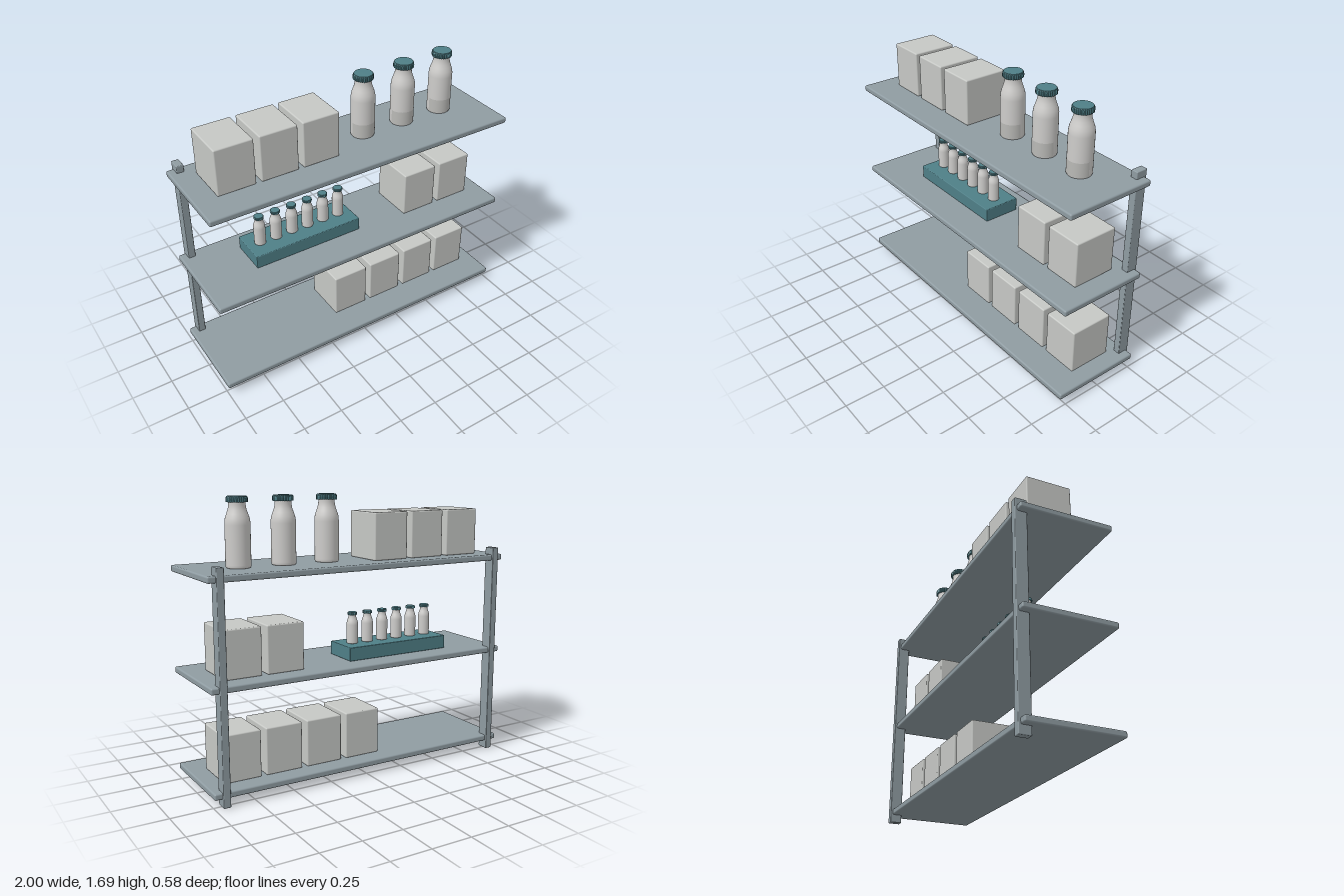
import * as THREE from 'three';
import { RoundedBoxGeometry } from 'three/addons/geometries/RoundedBoxGeometry.js';

const mat = (name, hex, extra = {}) => {
  const m = new THREE.MeshStandardMaterial({ color: hex, ...extra });
  m.name = name;
  return m;
};

export function createModel() {
  const root = new THREE.Group();
  root.name = 'stockedShelf';
  const metal = mat('greyMetal', 0x8f9ca2);
  const teal = mat('teal', 0x4f7f87);
  const card = mat('paleBox', 0xc6c8c5);
  const glass = mat('paleBottle', 0xcecdcb);
  const band = mat('greyBand', 0xb9b9b6, { side: THREE.DoubleSide });

  const Z = -0.028; // line on which the goods stand
  const add = (parent, name, geo, material, x, y, z) => {
    const mesh = new THREE.Mesh(geo, material);
    mesh.name = name;
    mesh.position.set(x, y, z);
    parent.add(mesh);
    return mesh;
  };

  // Rack: three boards on two rear posts
  const shelfTops = [0.089, 0.69, 1.292];
  const boardGeo = new RoundedBoxGeometry(2, 0.038, 0.567, 3, 0.01);
  shelfTops.forEach((y) => add(root, 'shelfBoard', boardGeo, metal, 0, y - 0.019, 0.0065));
  const postGeo = new RoundedBoxGeometry(0.044, 1.336, 0.074, 2, 0.005);
  [-0.936, 0.931].forEach((x) => add(root, 'post', postGeo, metal, x, 0.668, -0.253));

  // Storage boxes, by shelf
  const boxGeo = new RoundedBoxGeometry(0.233, 0.286, 0.281, 3, 0.008);
  const boxRows = [
    [-0.019, 0.248, 0.515, 0.781],
    [0.496, 0.763],
    [-0.751, -0.485, -0.22],
  ];
  boxRows.forEach((row, i) => row.forEach((x) =>
    add(root, 'storageBox', boxGeo, card, x, shelfTops[i] + 0.143, Z)));

  // Bottle body
  const V = (x, y) => new THREE.Vector2(x, y);
  const bodyGeo = new THREE.LatheGeometry([
    V(0, 0), V(0.064, 0), V(0.069, 0.002), V(0.072, 0.008), V(0.072, 0.02), V(0.072, 0.24),
    V(0.0715, 0.256), V(0.068, 0.277), V(0.06, 0.3), V(0.053, 0.32), V(0.049, 0.337),
    V(0.048, 0.352), V(0.048, 0.375),
  ], 32);

  // Crimped cap: every second column of the skirt is drawn inwards
  const RIBS = 56;
  const capLathe = new THREE.LatheGeometry([
    V(0, 0.364), V(0.061, 0.364), V(0.0615, 0.38), V(0.06, 0.39), V(0.055, 0.397), V(0, 0.398),
  ], RIBS);
  const p = capLathe.attributes.position;
  for (let i = 0; i < p.count; i++) {
    const column = Math.floor(i / 6), ring = i % 6;
    if (column % 2 && ring >= 1 && ring <= 3) {
      p.setX(i, p.getX(i) * 0.93);
      p.setZ(i, p.getZ(i) * 0.93);
    }
  }
  const capGeo = capLathe.toNonIndexed();
  capGeo.computeVertexNormals();

  // Thin band round the front half of the large bottles
  const bandGeo = new THREE.CylinderGeometry(0.0728, 0.0728, 0.085, 24, 1, true, -Math.PI / 2, Math.PI);

  const bottle = (name, x, y, scale) => {
    const g = new THREE.Group();
    g.name = name;
    add(g, 'bottleBody', bodyGeo, glass, 0, 0, 0);
    add(g, 'bottleCap', capGeo, teal, 0, 0, 0);
    g.position.set(x, y, Z);
    g.scale.setScalar(scale);
    root.add(g);
    return g;
  };

  // Large bottles on the top shelf
  [0.147, 0.431, 0.714].forEach((x) => {
    const g = bottle('largeBottle', x, shelfTops[2], 1);
    add(g, 'bottleBand', bandGeo, band, 0, 0.052, 0);
  });

  // Tray with a row of small bottles on the middle shelf
  const trayTop = 0.774;
  add(root, 'tray', new RoundedBoxGeometry(0.712, 0.084, 0.235, 2, 0.005), teal, -0.302, trayTop - 0.042, Z);
  for (let i = 0; i < 6; i++) bottle('smallBottle', -0.574 + i * 0.1085, trayTop, 0.49);

  return root;
}
